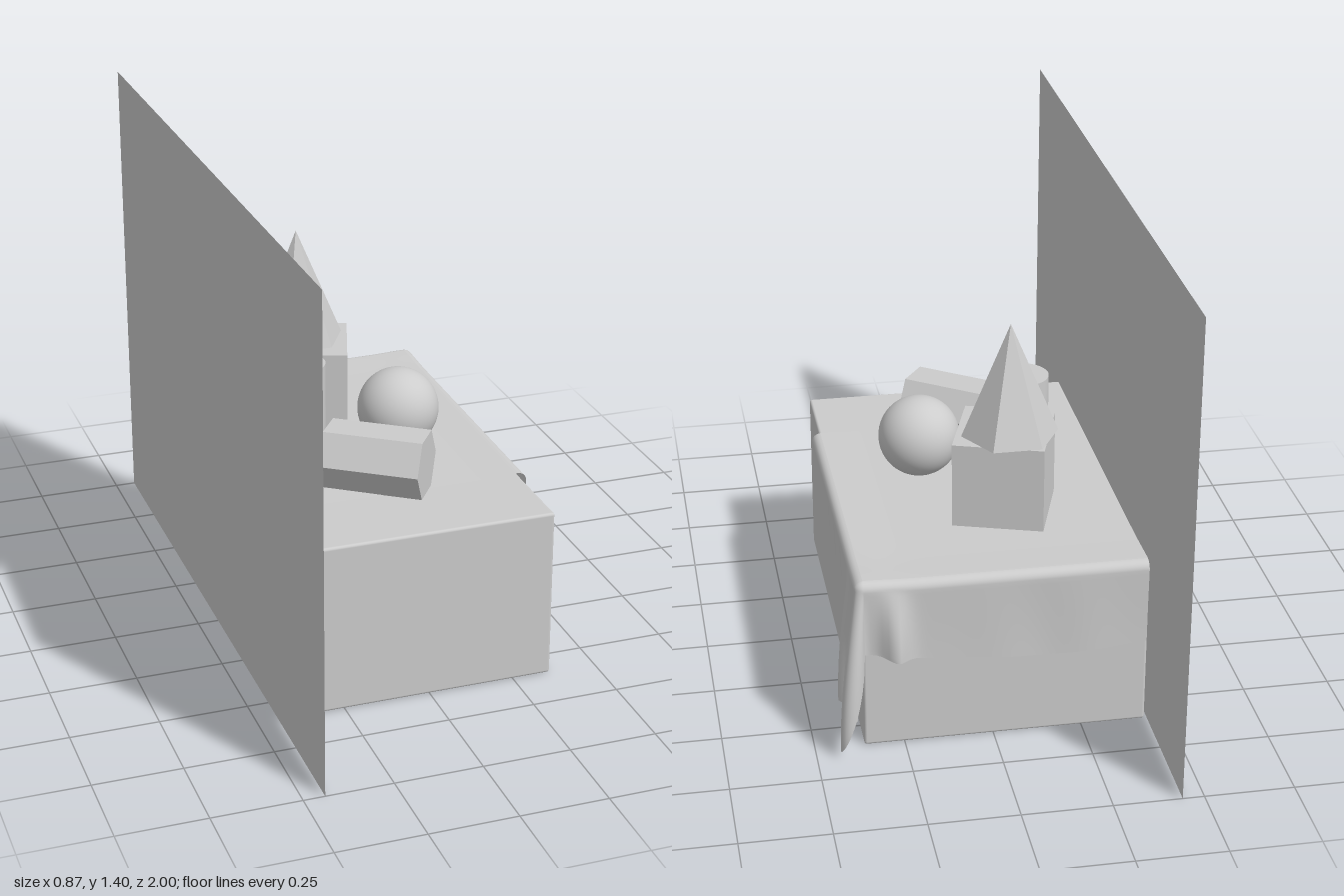
import * as THREE from 'three';
import { RoundedBoxGeometry } from 'three/addons/geometries/RoundedBoxGeometry.js';

const EDGE_X = 0.36, EDGE_Z = -0.6, FRONT_Z = 0.34, LEFT_X = -0.425, ROLL = 0.025;
const bump = (u, centre, width) => Math.exp(-(((u - centre) / width) ** 2));

// height of the cloth lying on the table, thickening toward the hanging edges
const clothTop = (x, z) => {
  const k = THREE.MathUtils.clamp((FRONT_Z - z) / 0.94, 0, 1);
  return 0.503 + 0.01 * k + 0.004 * bump(x, EDGE_X, 0.08) + 0.004 * bump(z, EDGE_Z, 0.08);
};

// smooth grid surface from rows of points
function gridGeometry(rows) {
  const n = rows[0].length, index = [];
  for (let i = 0; i < rows.length - 1; i++) {
    for (let j = 0; j < n - 1; j++) {
      const a = i * n + j, b = a + n;
      index.push(a, b, a + 1, b, b + 1, a + 1);
    }
  }
  const g = new THREE.BufferGeometry();
  g.setAttribute('position', new THREE.Float32BufferAttribute(rows.flat(2), 3));
  g.setIndex(index);
  g.computeVertexNormals();
  return g;
}

// one column of the hanging cloth: edge point, outward direction, hem height, fold depth
function clothColumns() {
  const cols = [];
  for (let i = 0; i <= 60; i++) { // right side
    const u = -0.94 * (1 - i / 60), z = EDGE_Z - u;
    cols.push({
      x: EDGE_X, z, dx: 1, dz: 0,
      hem: 0.12 - 0.04 * bump(u, 0, 0.15) + 0.002 * Math.sin(u * 60),
      fold: 0.042 * bump(u, -0.1, 0.035) + 0.004 * Math.sin(u * 48) * bump(u, -0.4, 0.3) - 0.005,
    });
  }
  for (let i = 1; i < 20; i++) { // gathered corner
    const k = i / 20, a = k * Math.PI / 2, s = Math.sin(2 * a);
    cols.push({
      x: EDGE_X, z: EDGE_Z, dx: Math.cos(a), dz: -Math.sin(a),
      hem: 0.08 + 0.22 * k - 0.155 * s,
      fold: 0.075 * s - 0.005,
    });
  }
  for (let i = 0; i <= 50; i++) { // back side
    const u = (EDGE_X - LEFT_X) * i / 50;
    cols.push({
      x: EDGE_X - u, z: EDGE_Z, dx: 0, dz: -1,
      hem: 0.26 + 0.04 * bump(u, 0, 0.12) + 0.01 * Math.sin(u * 9),
      fold: 0.045 * bump(u, 0.085, 0.035) + 0.004 * Math.sin(u * 22) * bump(u, 0.5, 0.2) - 0.005,
    });
  }
  return cols;
}

function hangingCloth() {
  const rows = clothColumns().map((c) => {
    const top = clothTop(c.x, c.z), points = [];
    const add = (out, y) => points.push([c.x + c.dx * out, y, c.z + c.dz * out]);
    for (let i = 0; i < 6; i++) { // roll over the table edge
      const a = i / 6 * Math.PI / 2;
      add(ROLL * Math.sin(a), top - ROLL * (1 - Math.cos(a)));
    }
    for (let i = 0; i <= 16; i++) { // fall to the hem
      const s = i / 16;
      add(ROLL + c.fold * Math.sin(s * Math.PI / 2), THREE.MathUtils.lerp(top - ROLL, c.hem, s));
    }
    return points;
  });
  return gridGeometry(rows.map((r) => r.slice().reverse()));
}

function lyingCloth() {
  const rows = [];
  for (let i = 0; i <= 30; i++) {
    const x = THREE.MathUtils.lerp(LEFT_X, EDGE_X, i / 30), row = [];
    for (let j = 0; j <= 36; j++) {
      const z = THREE.MathUtils.lerp(FRONT_Z, EDGE_Z, j / 36);
      row.push([x, clothTop(x, z), z]);
    }
    rows.push(row);
  }
  return gridGeometry(rows);
}

// flat-faced version of a low-sided geometry
function faceted(geometry) {
  const g = geometry.toNonIndexed();
  g.computeVertexNormals();
  return g;
}

export function createModel() {
  const model = new THREE.Group();
  const plaster = new THREE.MeshStandardMaterial({ color: 0xcccccc, side: THREE.DoubleSide });
  plaster.name = 'plasterGrey';

  const add = (name, geometry, x, y, z, turn = 0) => {
    const mesh = new THREE.Mesh(geometry, plaster);
    mesh.name = name;
    mesh.position.set(x, y, z);
    mesh.rotation.y = turn;
    model.add(mesh);
  };

  // wall and table
  add('wall', new THREE.PlaneGeometry(2, 1.4).rotateY(Math.PI / 2), -0.44, 0.7, 0);
  add('table', new RoundedBoxGeometry(0.795, 0.5, 1.2, 3, 0.008), -0.035, 0.25, 0);

  // tablecloth
  add('clothTop', lyingCloth(), 0, 0, 0);
  add('clothDrape', hangingCloth(), 0, 0, 0);

  // still life solids
  add('cube', new THREE.BoxGeometry(0.258, 0.26, 0.258), -0.095, 0.63, -0.23, -0.32);
  add('pyramid', faceted(new THREE.ConeGeometry(0.138, 0.33, 6).rotateY(Math.PI / 6)), -0.105, 0.925, -0.26);
  add('cylinder', new THREE.CylinderGeometry(0.079, 0.079, 0.3, 48), -0.195, 0.65, -0.0 + 0.03);
  add('ball', new THREE.SphereGeometry(0.118, 48, 32), 0.105, 0.625, 0.04);
  add('hexagonalPrism',
    faceted(new THREE.CylinderGeometry(0.099, 0.099, 0.287, 6).rotateZ(Math.PI / 2)),
    -0.045, 0.588, 0.283, -0.62);

  return model;
}
